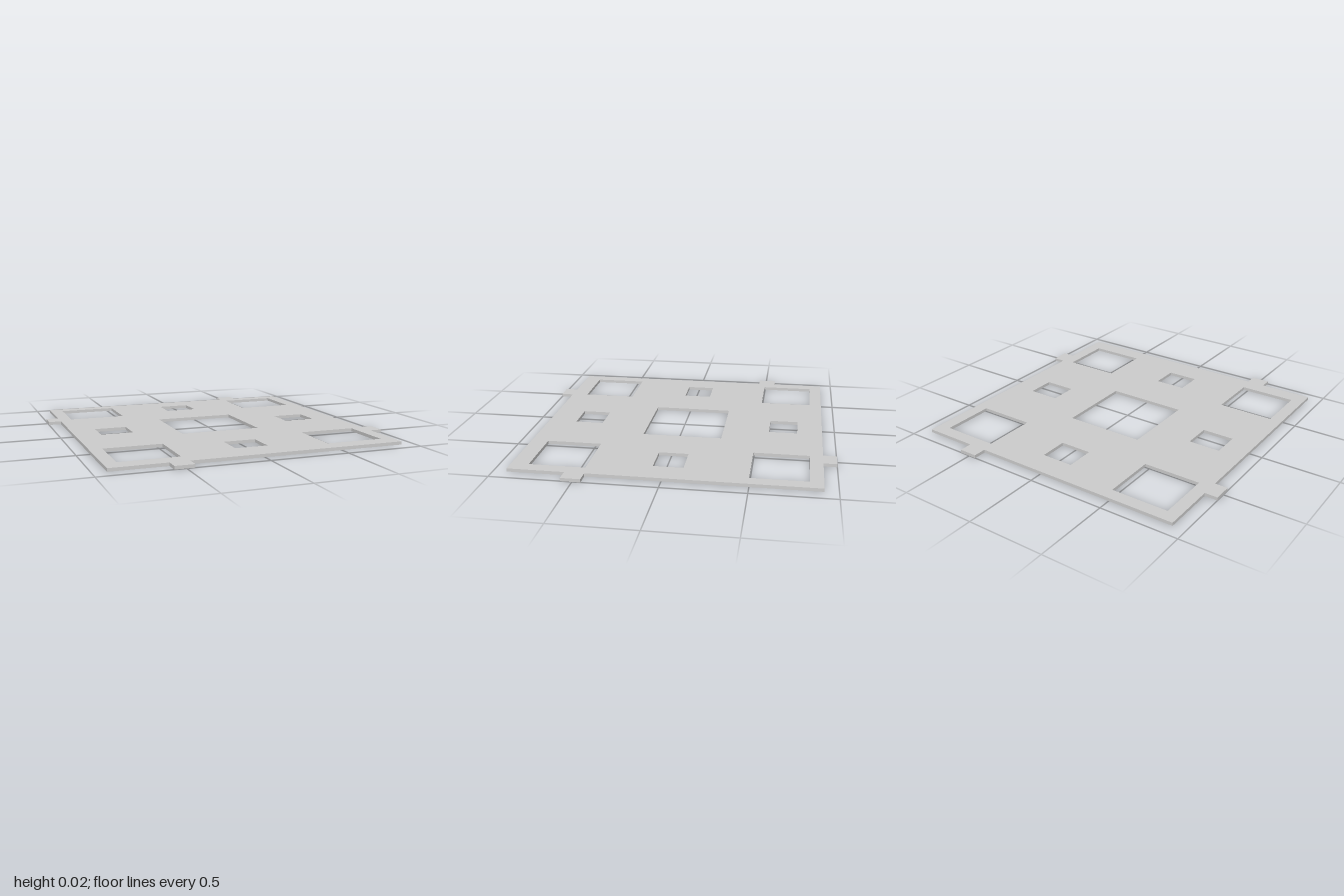
import * as THREE from 'three';

const THICKNESS = 0.02;
const EDGE = 0.918;

// Outline: one side with its tab, repeated by quarter turns
function outline() {
  const side = [[-EDGE, -EDGE], [0.45, -EDGE], [0.45, -1], [0.57, -1], [0.57, -EDGE]];
  const points = [];
  for (let turn = 0; turn < 4; turn++) {
    for (const [px, pz] of side) {
      let x = px, z = pz;
      for (let i = 0; i < turn; i++) [x, z] = [-z, x];
      points.push(new THREE.Vector2(x, z));
    }
  }
  return new THREE.Shape(points);
}

// Rectangular opening given by its edges in x and z
function opening(x0, x1, z0, z1) {
  return new THREE.Path([
    new THREE.Vector2(x0, z0), new THREE.Vector2(x0, z1),
    new THREE.Vector2(x1, z1), new THREE.Vector2(x1, z0),
  ]);
}

export function createModel() {
  const model = new THREE.Group();
  model.name = 'perforatedPanel';

  const shape = outline();
  // Large centre opening
  shape.holes.push(opening(-0.263, 0.263, -0.275, 0.233));
  // Corner openings
  for (const [z0, z1] of [[-0.838, -0.495], [0.465, 0.81]]) {
    shape.holes.push(opening(-0.838, -0.468, z0, z1), opening(0.468, 0.838, z0, z1));
  }
  // Small openings midway along each side
  for (const [cx, cz] of [[0, -0.652], [0, 0.652], [-0.652, 0], [0.652, 0]]) {
    shape.holes.push(opening(cx - 0.104, cx + 0.104, cz - 0.105, cz + 0.078));
  }

  // Flat plate with tabs, laid on the ground plane
  const geometry = new THREE.ExtrudeGeometry(shape, { depth: THICKNESS, bevelEnabled: false });
  geometry.rotateX(Math.PI / 2);
  geometry.translate(0, THICKNESS, 0);

  const plate = new THREE.Mesh(geometry, new THREE.MeshStandardMaterial({ color: 0xcccccc }));
  plate.name = 'plate';
  model.add(plate);
  return model;
}
